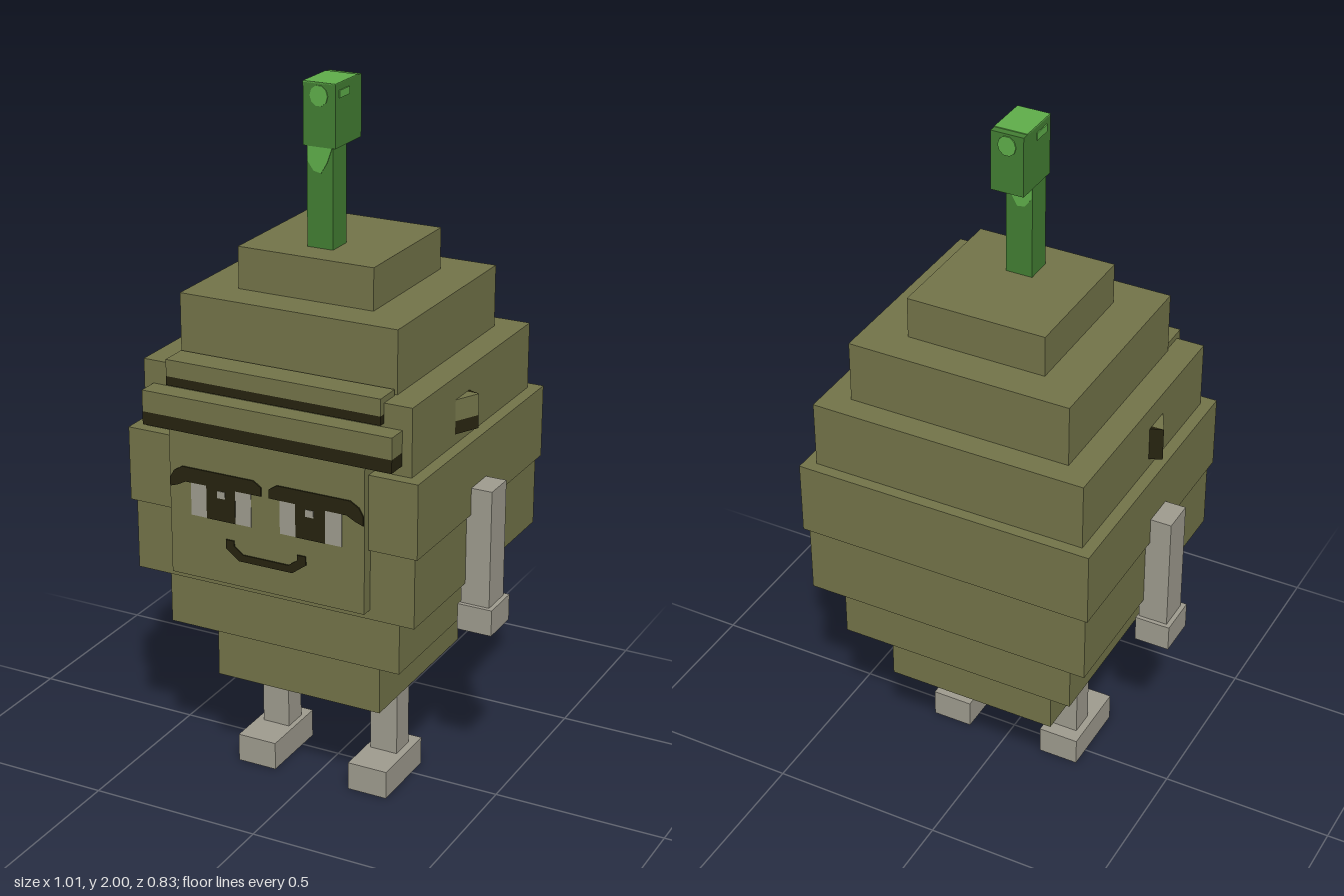
import * as THREE from 'three';

const mat = (name, color) => {
  const m = new THREE.MeshStandardMaterial({ color });
  m.name = name;
  return m;
};

export function createModel() {
  const olive = mat('olive', 0x737449);
  const dark = mat('darkBrown', 0x26230f);
  const grey = mat('warmGrey', 0x9f9c8f);
  const green = mat('stemGreen', 0x437f33);
  const lime = mat('limeGreen', 0x5fae4a);
  const model = new THREE.Group();
  model.name = 'blockCreature';

  // Box given by its minimum and maximum on each axis
  const box = (name, m, x0, x1, y0, y1, z0, z1) => {
    const mesh = new THREE.Mesh(new THREE.BoxGeometry(x1 - x0, y1 - y0, z1 - z0), m);
    mesh.position.set((x0 + x1) / 2, (y0 + y1) / 2, (z0 + z1) / 2);
    mesh.name = name;
    model.add(mesh);
    return mesh;
  };
  // Thin plate cut from an outline in x and y, with its back at z
  const plate = (name, m, points, z, depth = 0.004) => {
    const shape = new THREE.Shape(points.map(([x, y]) => new THREE.Vector2(x, y)));
    const mesh = new THREE.Mesh(new THREE.ExtrudeGeometry(shape, { depth, bevelEnabled: false }), m);
    mesh.position.z = z;
    mesh.name = name;
    model.add(mesh);
    return mesh;
  };
  // Upright prism cut from an outline in x and z
  const prism = (name, m, points, y0, y1) => {
    const mesh = plate(name, m, points, 0, y1 - y0);
    mesh.geometry.rotateX(Math.PI / 2);
    mesh.position.y = y1;
  };

  // Stepped body: half width, bottom, top, back, front
  [
    [0.252, 0.31, 0.49, -0.265, 0.24],
    [0.35, 0.49, 0.662, -0.347, 0.322],
    [0.418, 0.662, 0.865, -0.402, 0.375],
    [0.43, 0.865, 1.075, -0.415, 0.387],
    [0.396, 1.075, 1.265, -0.383, 0.354],
    [0.32, 1.265, 1.44, -0.315, 0.287],
    [0.2, 1.44, 1.557, -0.215, 0.186],
  ].forEach(([w, y0, y1, z0, z1], i) => box('bodyTier' + (i + 1), olive, -w, w, y0, y1, z0, z1));

  // Face panel and overhanging forehead ridges with dark undersides
  box('facePanel', olive, -0.29, 0.29, 0.69, 1.11, 0.34, 0.409);
  box('lowerRidge', olive, -0.368, 0.368, 1.14, 1.2, 0.34, 0.413);
  box('lowerRidgeShade', dark, -0.368, 0.368, 1.103, 1.14, 0.34, 0.413);
  box('upperRidge', olive, -0.316, 0.316, 1.235, 1.282, 0.295, 0.374);
  box('upperRidgeShade', dark, -0.316, 0.316, 1.21, 1.235, 0.295, 0.374);

  for (const [side, s] of [['left', 1], ['right', -1]]) {
    const flip = (pts) => pts.map(([x, y]) => [x * s, y]);
    const part = (name, m, x0, x1, ...rest) =>
      box(side + name, m, s > 0 ? x0 : -x1, s > 0 ? x1 : -x0, ...rest);

    // Wedge ridges on the sides
    const [front, tip, mid, back] = [[0.39, 0.108], [0.431, 0.026], [0.39, 0.026], [0.39, 0.01]];
    prism(side + 'SideRidge', olive, flip([front, tip, mid]), 1.14, 1.2);
    prism(side + 'SideRidgeBack', dark, flip([mid, tip, back]), 1.14, 1.2);
    prism(side + 'SideRidgeShade', dark, flip([front, tip, back]), 1.103, 1.14);

    // Limbs
    part('Arm', grey, 0.406, 0.49, 0.6, 0.943, -0.034, 0.06);
    part('Hand', grey, 0.402, 0.503, 0.527, 0.603, -0.046, 0.072);
    part('Leg', grey, 0.132, 0.215, 0.08, 0.32, -0.02, 0.055);
    part('Foot', grey, 0.117, 0.236, 0, 0.083, -0.062, 0.164);

    // Eye and heavy brow
    part('EyeWhite', grey, 0.043, 0.225, 0.87, 0.965, 0.408, 0.411);
    part('Pupil', dark, 0.09, 0.177, 0.87, 0.965, 0.408, 0.4125);
    box(side + 'EyeGlint', grey, s * 0.132 - 0.012, s * 0.132 + 0.012, 0.935, 0.955, 0.408, 0.414);
    plate(side + 'Brow', dark, flip([
      [0.012, 0.965], [0.012, 0.99], [0.035, 1.005], [0.25, 1.005], [0.275, 0.99],
      [0.288, 0.968], [0.288, 0.942], [0.265, 0.95], [0.24, 0.963],
    ]), 0.409);

    // Small lime mark on the side of the stem tip
    part('StemMark', lime, 0.045, 0.05, 1.96, 1.98, 0.03, 0.085);
  }

  // Smile
  plate('mouth', dark, [
    [-0.12, 0.82], [-0.12, 0.795], [-0.08, 0.765], [0.08, 0.765], [0.12, 0.795], [0.12, 0.82],
    [0.095, 0.82], [0.095, 0.805], [0.068, 0.785], [-0.068, 0.785], [-0.095, 0.805], [-0.095, 0.82],
  ], 0.409);

  // Stem with hooked tip and lime markings
  box('stem', green, -0.038, 0.038, 1.55, 1.84, 0.026, 0.102);
  box('stemTip', green, -0.047, 0.047, 1.83, 1.998, -0.04, 0.106);
  box('stemTipTop', lime, -0.047, 0.047, 1.996, 2, -0.02, 0.106);
  const spot = (name, y, z) => {
    const pts = [];
    for (let i = 0; i < 10; i++) {
      const a = (i / 10) * Math.PI * 2;
      pts.push([0.026 * Math.cos(a), y + 0.028 * Math.sin(a)]);
    }
    plate(name, lime, pts, z);
  };
  spot('stemTipFrontSpot', 1.965, 0.105);
  spot('stemTipBackSpot', 1.965, -0.043);
  const drip = [[-0.036, 1.83], [-0.036, 1.79], [-0.018, 1.765], [0.004, 1.76], [0.022, 1.79], [0.036, 1.83]];
  plate('stemFrontDrip', lime, drip, 0.1);
  plate('stemBackDrip', lime, drip, 0.024);

  return model;
}
